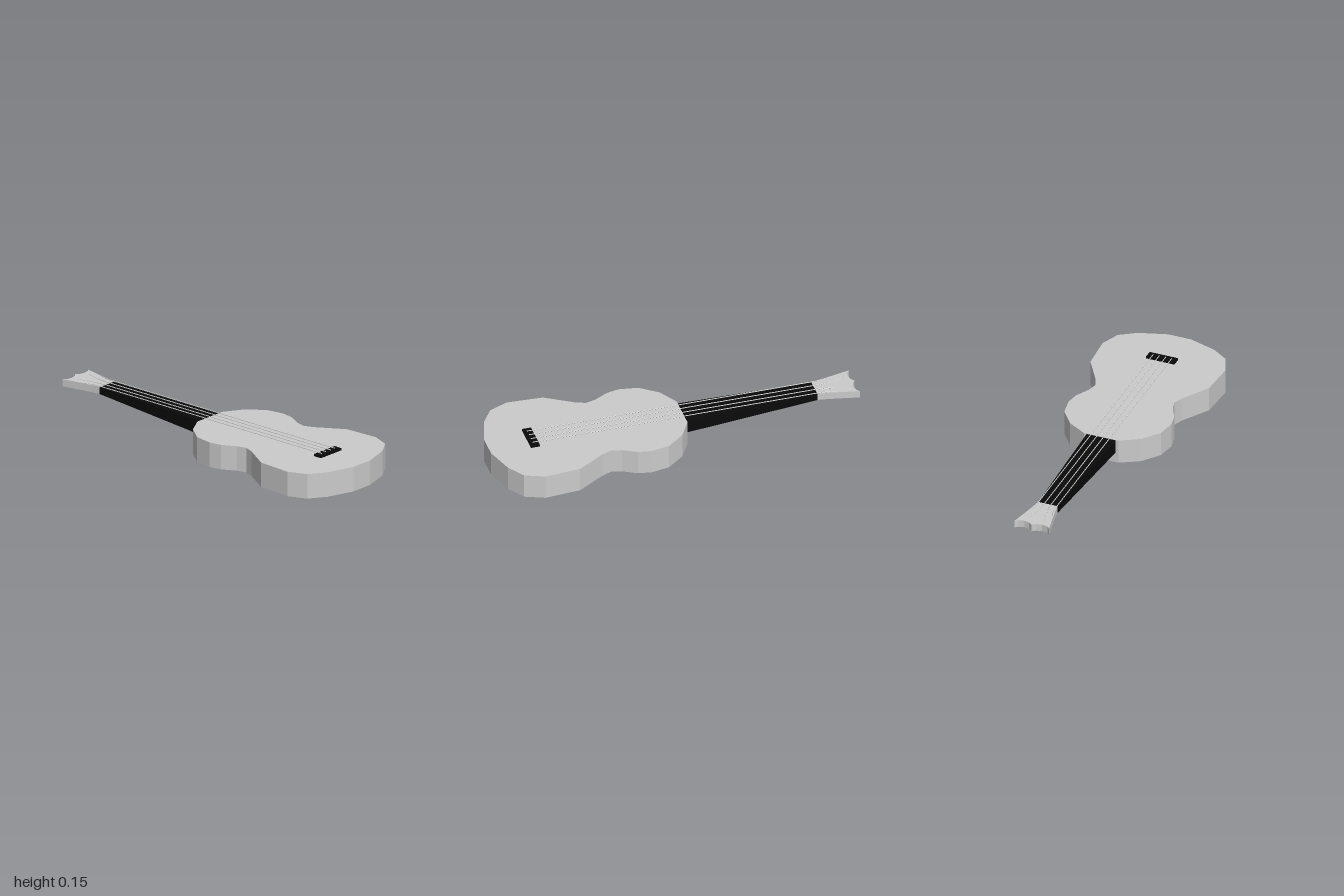
import * as THREE from 'three';

const pale = new THREE.MeshStandardMaterial({ color: 0xcbcbcb, flatShading: true });
pale.name = 'pale grey';
const black = new THREE.MeshStandardMaterial({ color: 0x0a0a0a, flatShading: true });
black.name = 'black';

// Right half outline as [x, z], from neck end to tail
const BODY = [[0.097, -0.06], [0.20, 0], [0.273, 0.095], [0.29, 0.195], [0.277, 0.265], [0.237, 0.34],
  [0.223, 0.395], [0.243, 0.447], [0.335, 0.597], [0.347, 0.79], [0.305, 0.893], [0.215, 0.953], [0.065, 1.0]];
const HEAD = [[0.055, -0.78], [0.063, -0.83], [0.079, -0.91], [0.098, -1.0], [0.082, -0.985],
  [0.05, -0.978], [0.02, -0.985], [0.0, -1.0]];

// Mirrored outline, closed around the centre line
function mirroredShape(half) {
  const left = half.filter(([x]) => x > 0).map(([x, z]) => [-x, z]).reverse();
  return new THREE.Shape([...half, ...left].map(([x, z]) => new THREE.Vector2(x, -z)));
}

// Flat slab lying in the xz plane between two heights
function slab(name, shape, y0, y1, material) {
  const geo = new THREE.ExtrudeGeometry(shape, { depth: y1 - y0, bevelEnabled: false, curveSegments: 4 });
  geo.rotateX(-Math.PI / 2).translate(0, y0, 0);
  const mesh = new THREE.Mesh(geo, material);
  mesh.name = name;
  return mesh;
}

function box(name, w, h, d, x, y, z, material) {
  const mesh = new THREE.Mesh(new THREE.BoxGeometry(w, h, d), material);
  mesh.position.set(x, y, z);
  mesh.name = name;
  return mesh;
}

export function createModel() {
  const model = new THREE.Group();
  model.name = 'smallGuitar';

  // Body: solid back with a top layer that holds the round recess
  const top = mirroredShape(BODY);
  const hole = [];
  for (let i = 0; i < 12; i++) {
    const a = -i / 12 * Math.PI * 2;
    hole.push(new THREE.Vector2(0.129 * Math.cos(a), -0.335 + 0.129 * Math.sin(a)));
  }
  top.holes.push(new THREE.Path(hole));
  model.add(slab('bodyBack', mirroredShape(BODY), 0, 0.1, pale));
  model.add(slab('bodyTop', top, 0.1, 0.136, pale));

  // Neck: a box tapering in width and depth towards the head
  const neck = box('neck', 1, 1, 0.72, 0, 0, 0, black);
  const p = neck.geometry.attributes.position;
  for (let i = 0; i < p.count; i++) {
    const t = p.getZ(i) < 0 ? 1 : 0;
    const y = p.getY(i) > 0 ? 0.134 + 0.003 * t : 0.06 + 0.04 * t;
    p.setXYZ(i, Math.sign(p.getX(i)) * (0.082 - 0.026 * t), y, t ? -0.78 : -0.06);
  }
  neck.geometry.computeVertexNormals();
  model.add(neck);

  // Flared head with a scalloped end
  model.add(slab('head', mirroredShape(HEAD), 0.1, 0.14, pale));

  // Bridge
  model.add(box('bridge', 0.16, 0.013, 0.048, 0, 0.1415, 0.763, black));

  // Four strings, fanning out over the head
  const strings = new THREE.Group();
  strings.name = 'strings';
  for (const [x, endX, endZ] of [[0.052, 0.07, -0.88], [0.018, 0.05, -0.95]]) {
    for (const s of [-1, 1]) {
      const path = new THREE.CurvePath();
      const a = new THREE.Vector3(s * x, 0.15, 0.77);
      const b = new THREE.Vector3(s * x, 0.142, -0.78);
      path.add(new THREE.LineCurve3(a, b));
      path.add(new THREE.QuadraticBezierCurve3(b, new THREE.Vector3(s * x, 0.141, -0.85),
        new THREE.Vector3(s * endX, 0.14, endZ)));
      const string = new THREE.Mesh(new THREE.TubeGeometry(path, 60, 0.0025, 5), pale);
      string.name = 'string';
      strings.add(string);
    }
  }
  model.add(strings);
  return model;
}
